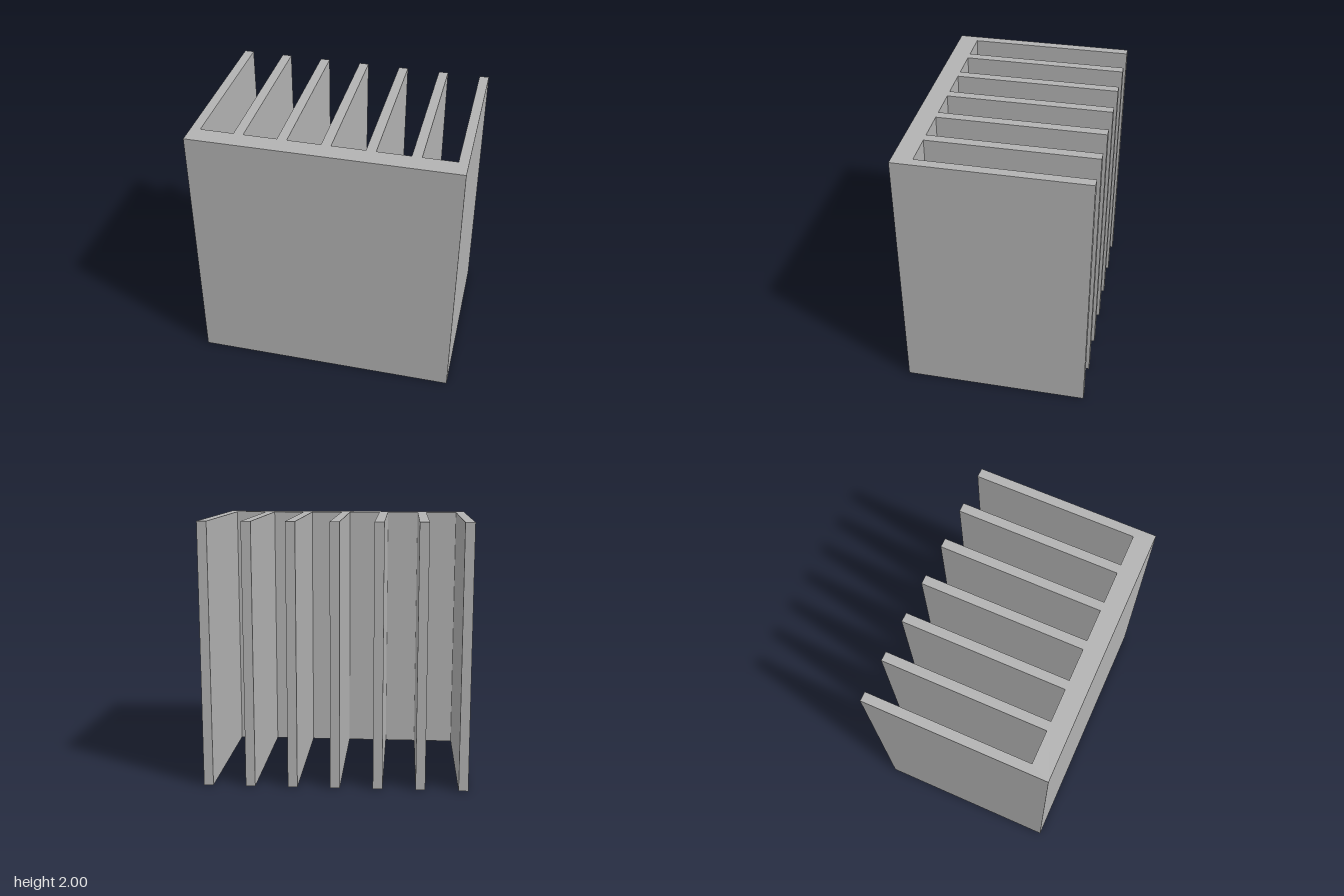
import * as THREE from 'three';

const WIDTH = 2, HEIGHT = 2, FRONT = 0.7, BACK = -0.7;
const FIN_COUNT = 7, FIN_WIDTH = 0.072, BASE_BACK = 0.55;

// Comb-shaped cross-section: a base plate with parallel fins (shape y = -z)
function combProfile() {
  const pitch = (WIDTH - FIN_WIDTH) / (FIN_COUNT - 1);
  const shape = new THREE.Shape();
  shape.moveTo(WIDTH / 2, -FRONT);
  for (let i = FIN_COUNT - 1; i >= 0; i--) {
    const left = -WIDTH / 2 + i * pitch, right = left + FIN_WIDTH;
    if (i < FIN_COUNT - 1) shape.lineTo(right, -BASE_BACK);
    shape.lineTo(right, -BACK);
    shape.lineTo(left, -BACK);
    if (i > 0) shape.lineTo(left, -BASE_BACK);
  }
  shape.lineTo(-WIDTH / 2, -FRONT);
  shape.closePath();
  return shape;
}

export function createModel() {
  const metal = new THREE.MeshStandardMaterial({ color: 0xb2b2b2 });
  metal.name = 'plain grey metal';

  // One extruded body, stood upright
  const geometry = new THREE.ExtrudeGeometry(combProfile(), { depth: HEIGHT, bevelEnabled: false });
  geometry.rotateX(-Math.PI / 2);
  const heatSink = new THREE.Mesh(geometry, metal);
  heatSink.name = 'finnedHeatSink';

  const group = new THREE.Group();
  group.name = 'heatSink';
  group.add(heatSink);
  return group;
}
